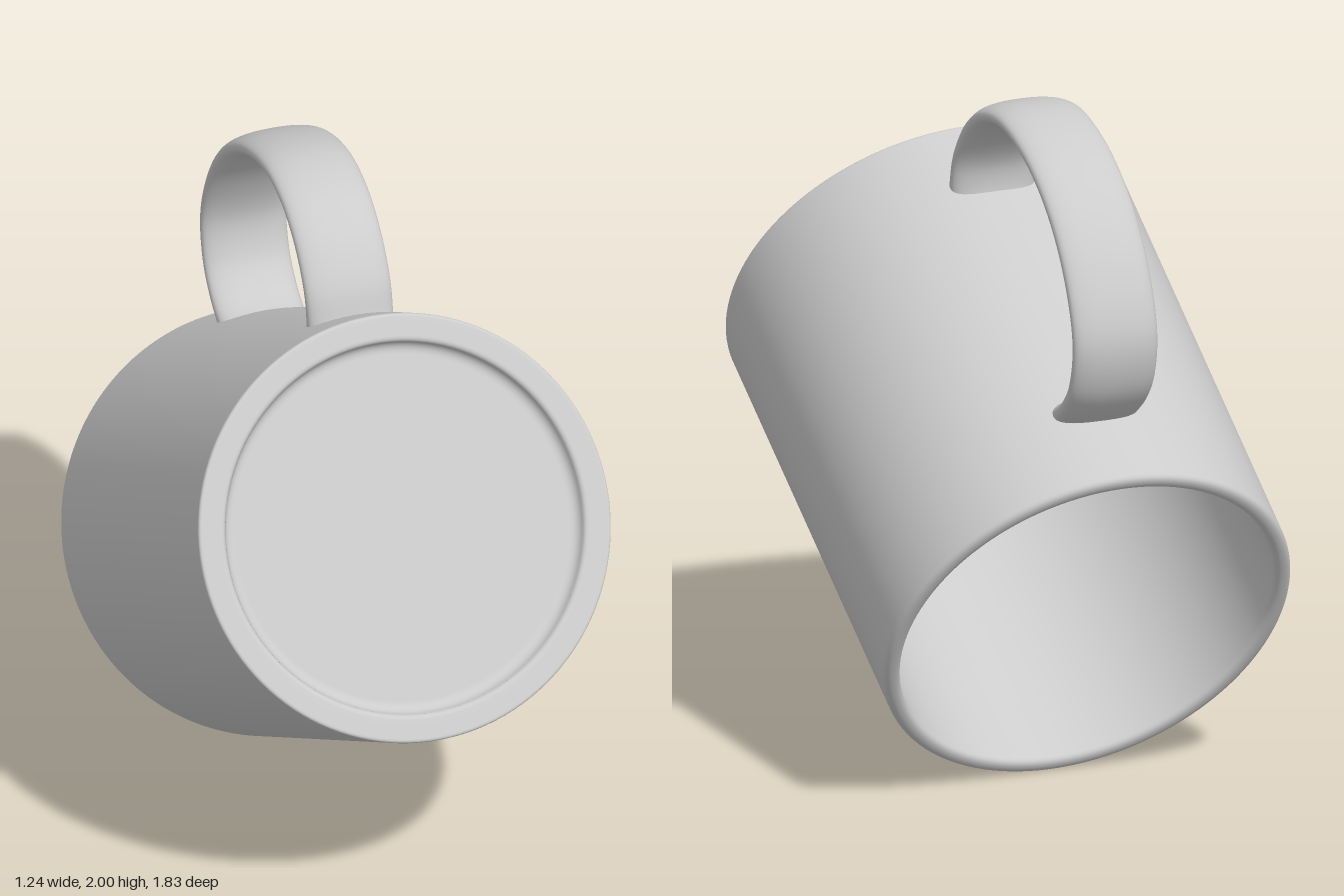
import * as THREE from 'three';

const material = new THREE.MeshStandardMaterial({ color: 0xcccccc });

// Cup profile: [radius, height, corner rounding], from base centre round to inner floor centre
const PROFILE = [
  [0, 0.04, 0], [0.53, 0.04, 0.03], [0.54, 0, 0.015], [0.62, 0, 0.012],
  [0.62, 1.412, 0.025], [0.57, 1.412, 0.025], [0.57, 0.1, 0.04], [0, 0.1, 0],
];

// Handle centreline: [height along the cup, distance from the cup axis]
const HANDLE = [
  [0.225, 0.585], [0.193, 0.69], [0.195, 0.78], [0.217, 0.868], [0.274, 0.969],
  [0.392, 1.065], [0.592, 1.12], [0.804, 1.107], [0.992, 1.03], [1.128, 0.911],
  [1.172, 0.781], [1.158, 0.68], [1.115, 0.585],
];

// Outline with every corner replaced by a small curve
function roundedProfile(corners) {
  const path = new THREE.Path();
  const at = (i) => new THREE.Vector2(corners[i][0], corners[i][1]);
  const last = corners.length - 1;
  path.moveTo(...corners[0]);
  for (let i = 1; i < last; i++) {
    const p = at(i), r = corners[i][2];
    const a = p.clone().add(at(i - 1).sub(p).setLength(r));
    const b = p.clone().add(at(i + 1).sub(p).setLength(r));
    path.lineTo(a.x, a.y);
    path.quadraticCurveTo(p.x, p.y, b.x, b.y);
  }
  path.lineTo(corners[last][0], corners[last][1]);
  return path.getPoints(8);
}

// Flat rounded strap swept along a curve in the yz plane, flaring a little at both ends
function strapGeometry(curve, halfWidth, halfThickness, steps = 120, sides = 40) {
  const positions = [], index = [];
  const length = curve.getLength();
  const squash = (v, power) => Math.sign(v) * Math.abs(v) ** power;
  for (let i = 0; i <= steps; i++) {
    const u = i / steps;
    const p = curve.getPointAt(u), t = curve.getTangentAt(u);
    const endDistance = Math.min(u, 1 - u) * length;
    const thick = halfThickness * (1 + 0.5 * Math.exp(-endDistance / 0.035));
    for (let j = 0; j < sides; j++) {
      const a = (j / sides) * Math.PI * 2;
      const w = squash(Math.cos(a), 0.85) * halfWidth;
      const h = squash(Math.sin(a), 0.85) * thick;
      positions.push(w, p.y - t.z * h, p.z + t.y * h);
      if (i < steps) {
        const k = (j + 1) % sides;
        const A = i * sides + j, B = i * sides + k;
        index.push(A, A + sides, B, B, A + sides, B + sides);
      }
    }
  }
  const geometry = new THREE.BufferGeometry();
  geometry.setAttribute('position', new THREE.Float32BufferAttribute(positions, 3));
  geometry.setIndex(index);
  geometry.computeVertexNormals();
  return geometry;
}

export function createModel() {
  const model = new THREE.Group();
  model.name = 'tiltedMug';

  // Upright mug, handle towards local +z, then tipped over
  const mug = new THREE.Group();
  mug.name = 'mug';
  mug.rotation.x = THREE.MathUtils.degToRad(-119.4);
  mug.position.set(0, 1.23, 0.615);
  model.add(mug);

  const cup = new THREE.Mesh(new THREE.LatheGeometry(roundedProfile(PROFILE), 128), material);
  cup.name = 'cup';
  mug.add(cup);

  const curve = new THREE.CatmullRomCurve3(HANDLE.map(([y, z]) => new THREE.Vector3(0, y, z)));
  const handle = new THREE.Mesh(strapGeometry(curve, 0.13, 0.037), material);
  handle.name = 'handle';
  mug.add(handle);

  return model;
}
